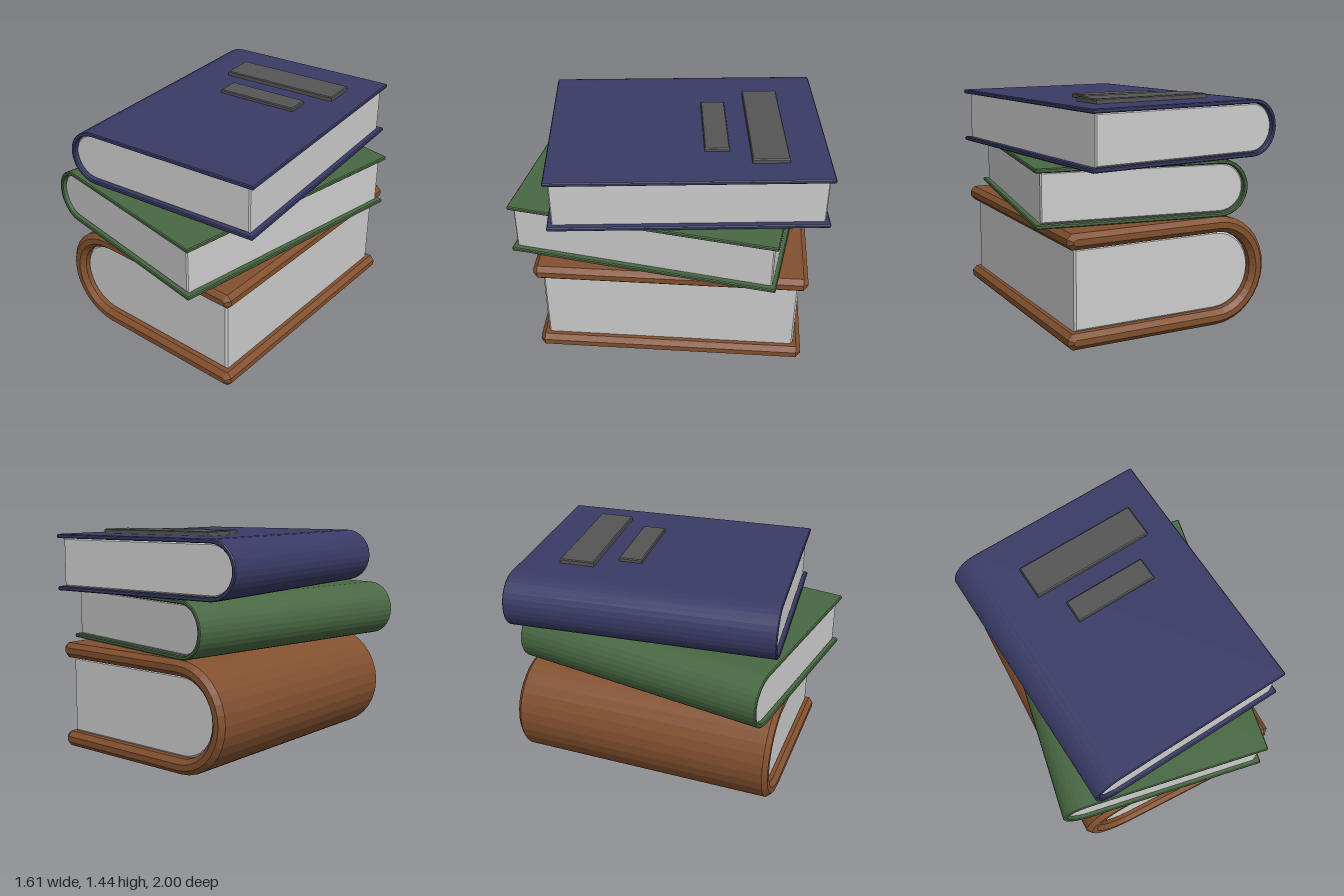
import * as THREE from 'three';

// Extrude a side profile along z, centred, with a one-step chamfer kept inside the outline
function extrude(shape, length, bevel) {
  const geo = new THREE.ExtrudeGeometry(shape, {
    depth: length - 2 * bevel, steps: 1, curveSegments: 8,
    bevelEnabled: true, bevelSegments: 1,
    bevelSize: bevel, bevelThickness: bevel, bevelOffset: -bevel,
  });
  return geo.translate(0, 0, -length / 2 + bevel);
}

function part(name, geometry, color) {
  const mesh = new THREE.Mesh(geometry, new THREE.MeshStandardMaterial({ color, flatShading: true }));
  mesh.name = name;
  return mesh;
}

// Book lying flat: U-shaped cover with a round spine at -x, D-shaped page block inside
function makeBook({ name, color, width, height, length, thickness, bevel, pageInset, pageLength, pageBevel }) {
  const book = new THREE.Group();
  book.name = name;
  const r = height / 2, ri = r - thickness;
  const right = width / 2, cx = -right + r;
  const up = Math.PI / 2, down = Math.PI * 1.5;

  // Cover profile, with the corners of both board edges cut off
  const cover = new THREE.Shape();
  cover.moveTo(right - bevel, ri);
  cover.lineTo(right, ri + bevel);
  cover.lineTo(right, r - bevel);
  cover.lineTo(right - bevel, r);
  cover.absarc(cx, 0, r, up, down, false);
  cover.lineTo(right - bevel, -r);
  cover.lineTo(right, -r + bevel);
  cover.lineTo(right, -ri - bevel);
  cover.lineTo(right - bevel, -ri);
  cover.absarc(cx, 0, ri, down, up, true);
  book.add(part('cover', extrude(cover, length, bevel), color));

  const pages = new THREE.Shape();
  pages.moveTo(right - pageInset, -ri);
  pages.lineTo(right - pageInset, ri);
  pages.absarc(cx, 0, ri, up, down, false);
  book.add(part('pages', extrude(pages, pageLength, pageBevel), 0xcccccc));
  return book;
}

// Raised rectangular plate with chamfered edges
function makePlate(name, w, d, h) {
  const s = new THREE.Shape();
  s.moveTo(-w / 2, -d / 2);
  s.lineTo(w / 2, -d / 2);
  s.lineTo(w / 2, d / 2);
  s.lineTo(-w / 2, d / 2);
  return part(name, extrude(s, h, 0.006).rotateX(-Math.PI / 2), 0x555555);
}

export function createModel() {
  const model = new THREE.Group();
  model.name = 'bookStack';

  // Thick bottom book
  const bottom = makeBook({
    name: 'bottomBook', color: 0x82502f, width: 1.37, height: 0.695, length: 1.735,
    thickness: 0.098, bevel: 0.03, pageInset: 0.055, pageLength: 1.63, pageBevel: 0.012,
  });
  bottom.position.set(0.005, 0.3475, -0.035);

  // Two thin books, turned opposite ways
  const thin = {
    height: 0.355, length: 1.708, thickness: 0.026, bevel: 0.006,
    pageInset: 0.036, pageLength: 1.655, pageBevel: 0.008,
  };
  const middle = makeBook({ ...thin, name: 'middleBook', color: 0x486842, width: 1.346 });
  middle.position.set(0, 0.8725, 0.04);
  middle.rotation.y = -0.165;

  const top = makeBook({ ...thin, name: 'topBook', color: 0x393b66, width: 1.352 });
  top.position.set(0, 1.231, -0.09);
  top.rotation.y = 0.096;

  // Title plates on the top cover
  const plates = [
    ['largePlate', 0.81, 0.225, 0.045, 0.043, -0.588, 1.415],
    ['smallPlate', 0.55, 0.153, 0.04, 0.07, -0.275, 1.411],
  ];
  for (const [name, w, d, h, x, z, y] of plates) {
    const plate = makePlate(name, w, d, h);
    plate.position.set(x, y, z);
    plate.rotation.y = top.rotation.y;
    model.add(plate);
  }

  model.add(bottom, middle, top);
  return model;
}
